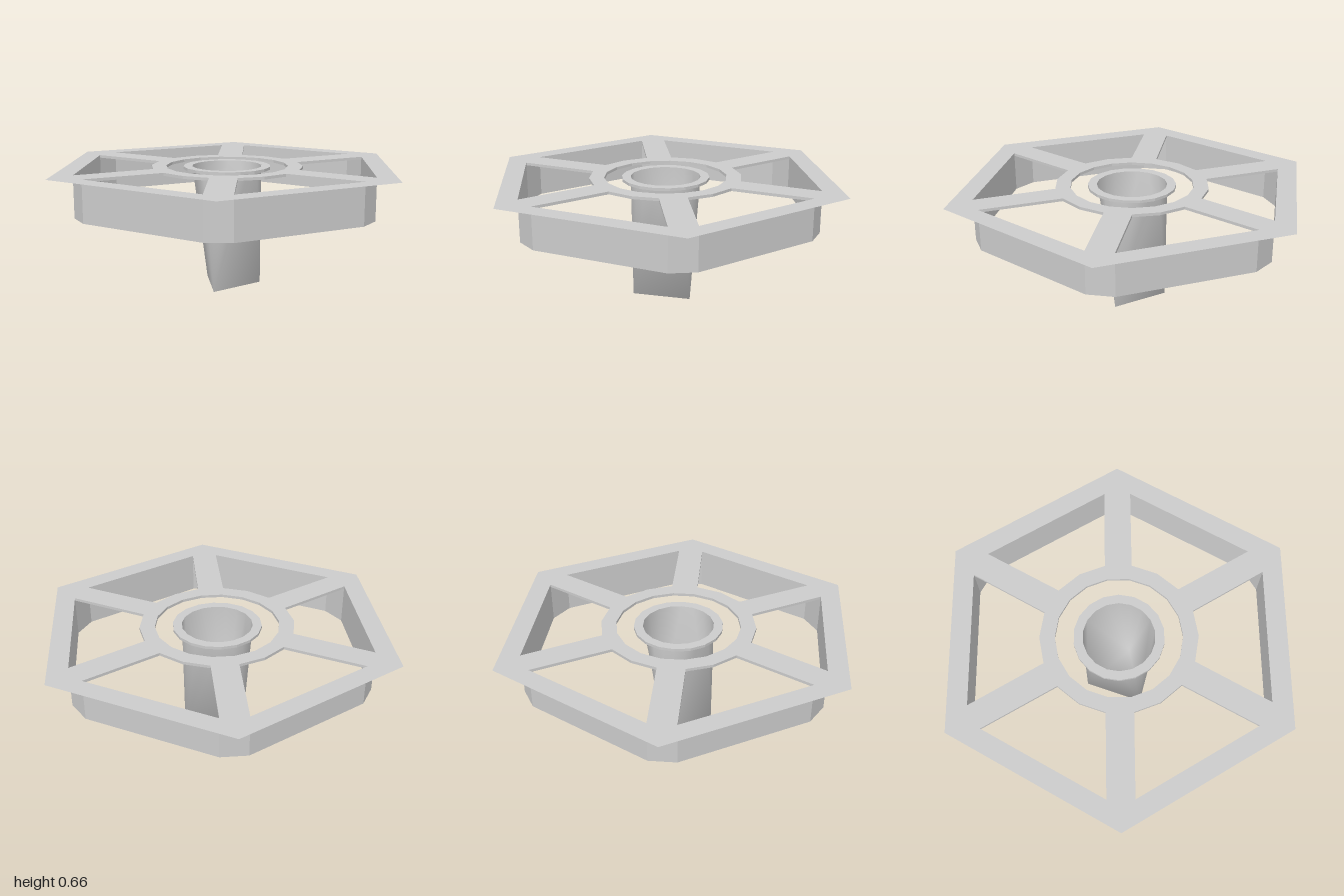
import * as THREE from 'three';

const TOP = 0.663;      // level of the flat top
const LIP = 0.015;      // thickness of spokes and rims
const SKIRT_BOTTOM = 0.44;
const STEP = Math.PI / 9;

const polar = (r, a) => new THREE.Vector2(r * Math.cos(a), r * Math.sin(a));
const polygon = (n, r, offset = 0) =>
  Array.from({ length: n }, (_, i) => polar(r, offset + (i / n) * Math.PI * 2));

function shapeWithHole(outer, inner) {
  const shape = new THREE.Shape(outer);
  shape.holes.push(new THREE.Path(inner));
  return shape;
}

// Flat-lying slab whose top is level with TOP
function slab(shape) {
  return new THREE.ExtrudeGeometry(shape, { depth: LIP, bevelEnabled: false })
    .rotateX(-Math.PI / 2).translate(0, TOP - LIP, 0);
}

// Vertical band along a closed outline, flat faced
function band(points, y0, y1) {
  const pos = [];
  points.forEach((p, i) => {
    const q = points[(i + 1) % points.length];
    pos.push(p.x, y0, p.y, p.x, y1, p.y, q.x, y1, q.y);
    pos.push(p.x, y0, p.y, q.x, y1, q.y, q.x, y0, q.y);
  });
  const g = new THREE.BufferGeometry();
  g.setAttribute('position', new THREE.Float32BufferAttribute(pos, 3));
  g.computeVertexNormals();
  return g;
}

// Round mouth narrowing to a three-cornered foot, closed at the bottom
function cupGeometry(radius, sides) {
  const pos = [], index = [];
  for (let i = 0; i < sides; i++) {
    const p = polar(radius, i * STEP);
    pos.push(p.x, TOP, p.y);
  }
  for (let k = 0; k < 3; k++) {
    const p = polar(0.185, STEP * (1 + 6 * k));
    pos.push(p.x, 0, p.y);
  }
  const foot = (i) => sides + (((Math.round((i - 1) / 6) % 3) + 3) % 3);
  for (let i = 0; i < sides; i++) {
    const j = (i + 1) % sides, a = foot(i), b = foot(j);
    index.push(i, j, b);
    if (a !== b) index.push(i, b, a);
  }
  index.push(sides, sides + 1, sides + 2);
  const g = new THREE.BufferGeometry();
  g.setAttribute('position', new THREE.Float32BufferAttribute(pos, 3));
  g.setIndex(index);
  g.computeVertexNormals();
  return g;
}

export function createModel() {
  const group = new THREE.Group();
  const material = new THREE.MeshStandardMaterial({ color: 0xcccccc, side: THREE.DoubleSide });
  const add = (name, geometry) => {
    const mesh = new THREE.Mesh(geometry, material);
    mesh.name = name;
    group.add(mesh);
  };

  // Twelve-sided skirt outline and the six-spoked wheel outline
  const skirtOutline = [], wheelOutline = [];
  const spokeEnd = Math.atan2(0.07, 0.84), spokeRadius = Math.hypot(0.84, 0.07);
  for (let k = 0; k < 6; k++) {
    const a = (k * Math.PI) / 3;
    const ends = [polar(spokeRadius, a - spokeEnd), polar(spokeRadius, a + spokeEnd)];
    skirtOutline.push(...ends);
    wheelOutline.push(polar(0.41, a - STEP / 2), ...ends,
      polar(0.41, a + STEP / 2), polar(0.41, a + STEP * 1.5));
  }

  // Thin hexagonal flange around the skirt
  add('flange', new THREE.ShapeGeometry(shapeWithHole(polygon(6, 1), skirtOutline))
    .rotateX(-Math.PI / 2).translate(0, TOP, 0));
  add('skirt', band(skirtOutline, SKIRT_BOTTOM, TOP));

  // Spokes with the ring around the cup
  add('spokedRing', slab(shapeWithHole(wheelOutline, polygon(18, 0.33, STEP / 2))));

  // Central cup and its rim
  add('cupRim', slab(shapeWithHole(polygon(18, 0.236), polygon(18, 0.188))));
  add('cup', cupGeometry(0.188, 18));

  return group;
}
